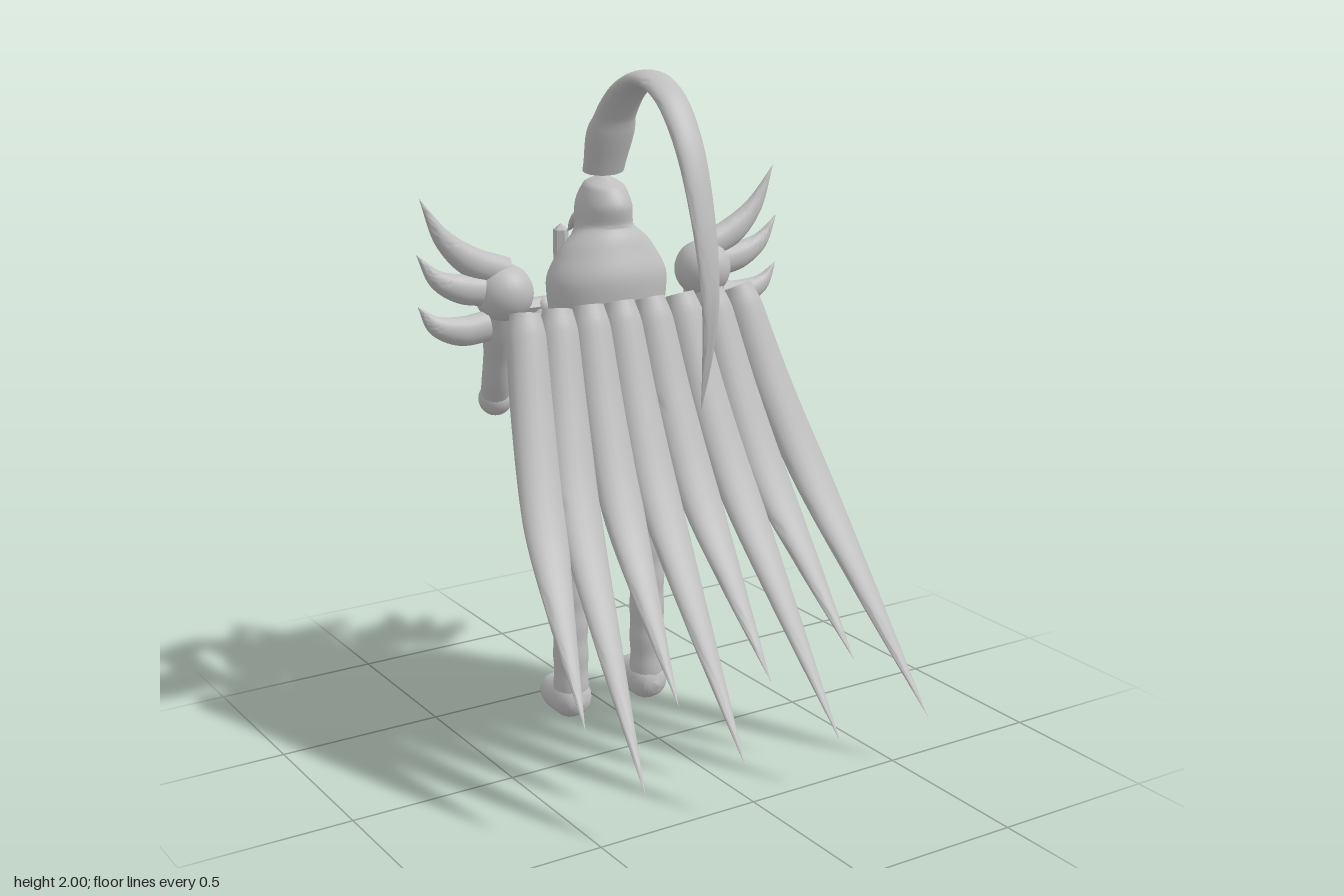
import * as THREE from 'three';
import { toCreasedNormals } from 'three/addons/utils/BufferGeometryUtils.js';

const grey = new THREE.MeshStandardMaterial({ color: 0xbfbfbf });
grey.name = 'stone grey';

const X = new THREE.Vector3(1, 0, 0);
const Z = new THREE.Vector3(0, 0, 1);

// Smooth closed sweep: stations are [x, y, z, radius along side, radius across]
function loft(stations, side = X, rows = 32, cols = 20) {
  const path = new THREE.CatmullRomCurve3(stations.map(s => new THREE.Vector3(s[0], s[1], s[2])));
  const size = new THREE.CatmullRomCurve3(stations.map(s => new THREE.Vector3(s[3], s[4], 0)));
  const pos = [], index = [];
  for (let i = -1; i <= rows + 1; i++) {
    const u = Math.min(Math.max(i / rows, 0), 1);
    const c = path.getPoint(u), r = size.getPoint(u);
    const t = path.getTangent(u);
    const n = t.clone().cross(side).normalize();
    const s = n.clone().cross(t).normalize();
    const k = i < 0 || i > rows ? 0 : 1; // zero-size rings close the ends
    for (let j = 0; j < cols; j++) {
      const a = j / cols * Math.PI * 2;
      const p = c.clone()
        .addScaledVector(s, k * Math.max(r.x, 0) * Math.cos(a))
        .addScaledVector(n, k * Math.max(r.y, 0) * Math.sin(a));
      pos.push(p.x, p.y, p.z);
    }
  }
  for (let i = 0; i < rows + 2; i++) {
    for (let j = 0; j < cols; j++) {
      const a = i * cols + j, b = i * cols + (j + 1) % cols;
      index.push(a, b, a + cols, b, b + cols, a + cols);
    }
  }
  const g = new THREE.BufferGeometry();
  g.setAttribute('position', new THREE.Float32BufferAttribute(pos, 3));
  g.setIndex(index);
  return toCreasedNormals(g, 0.9);
}

export function createModel() {
  const model = new THREE.Group();
  model.name = 'wingedGuardian';
  const add = (name, geometry, x = 0, y = 0, z = 0) => {
    const m = new THREE.Mesh(geometry, grey);
    m.name = name;
    m.position.set(x, y, z);
    model.add(m);
    return m;
  };
  const ball = (name, r, x, y, z) => add(name, new THREE.SphereGeometry(r, 24, 16), x, y, z);

  // Torso and head in one smooth form
  add('body', loft([
    [0, 0.73, -0.285, 0, 0], [0, 0.78, -0.285, 0.12, 0.055], [0, 0.9, -0.285, 0.155, 0.075],
    [0, 1.05, -0.285, 0.165, 0.095], [0, 1.22, -0.285, 0.178, 0.115], [0, 1.37, -0.285, 0.193, 0.13],
    [0, 1.47, -0.29, 0.145, 0.105], [0, 1.53, -0.3, 0.086, 0.09], [0, 1.59, -0.3, 0.08, 0.098],
    [0, 1.65, -0.295, 0.058, 0.066], [0, 1.68, -0.29, 0, 0],
  ], X, 60, 32));

  // Beak
  add('beak', loft([
    [0, 1.545, -0.37, 0.045, 0.035], [0, 1.535, -0.42, 0.036, 0.026],
    [0, 1.51, -0.47, 0.02, 0.014], [0, 1.475, -0.515, 0, 0],
  ]));

  // Long plume arching over the back
  add('plume', loft([
    [0, 1.69, -0.3, 0.068, 0.034], [0, 1.85, -0.235, 0.068, 0.034], [0, 1.94, -0.15, 0.062, 0.03],
    [0, 1.975, -0.055, 0.055, 0.025], [0, 1.94, 0.05, 0.05, 0.024], [0, 1.82, 0.15, 0.046, 0.02],
    [0, 1.6, 0.232, 0.038, 0.013], [0, 1.4, 0.265, 0.029, 0.009], [0, 1.24, 0.252, 0.017, 0.006],
    [0, 1.075, 0.22, 0, 0],
  ], X, 64));

  // Cloak of eight long feathers, alternating in length
  const tips = [-0.525, -0.405, -0.23, -0.08, 0.08, 0.245, 0.375, 0.565];
  tips.forEach((tipX, i) => {
    const long = i % 2;
    const tipY = long ? 0.155 : 0.335, tipZ = long ? 0.577 : 0.466;
    const topX = (i - 3.5) * 0.103;
    const at = (f, y, z, a, b) => [topX + (tipX - topX) * f, y, z, a, b];
    add('cloakFeather' + (i + 1), loft([
      at(0, 1.335, -0.128, 0.045, 0.038), at(0.06, 1.27, -0.105, 0.06, 0.046),
      at(0.25, 1.05, -0.015, 0.066, 0.04),
      at(0.5, 0.8, 0.115, 0.066, 0.03), at(0.76, 0.8 + (tipY - 0.8) * 0.5, 0.1 + (tipZ - 0.1) * 0.5, 0.038, 0.017),
      at(1, tipY, tipZ, 0, 0),
    ], X, 40));
  });

  for (const s of [1, -1]) {
    const sideName = s > 0 ? 'left' : 'right';

    // Leg with gentle ripples
    const leg = [];
    for (let i = 0; i <= 16; i++) {
      const r = 0.052 + 0.003 * (i % 2) + (i < 3 ? 0.006 : 0);
      leg.push([s * (0.115 + 0.023 * Math.min(i / 5, 1)), 0.86 - i * 0.05, -0.285, r, r]);
    }
    add(sideName + 'Leg', loft(leg, X, 64));
    add(sideName + 'Foot', loft([
      [s * 0.138, 0.065, -0.22, 0, 0], [s * 0.138, 0.065, -0.235, 0.04, 0.04],
      [s * 0.138, 0.068, -0.28, 0.064, 0.064], [s * 0.138, 0.063, -0.35, 0.062, 0.057],
      [s * 0.138, 0.066, -0.4, 0.047, 0.043], [s * 0.138, 0.066, -0.422, 0, 0],
    ]));

    // Knee spike
    add(sideName + 'KneeSpike', loft([
      [s * 0.148, 0.435, -0.36, 0.036, 0.025], [s * 0.148, 0.435, -0.405, 0.034, 0.027],
      [s * 0.148, 0.455, -0.445, 0.02, 0.018], [s * 0.148, 0.503, -0.482, 0, 0],
    ]));

    // Shoulder with three upswept horns
    ball(sideName + 'Shoulder', 0.086, s * 0.342, 1.365, -0.288);
    const horns = [
      [0.34, 1.425, 0.45, 1.47, 0.53, 1.54, 0.6, 1.66],
      [0.37, 1.375, 0.47, 1.39, 0.55, 1.425, 0.615, 1.505],
      [0.4, 1.275, 0.48, 1.27, 0.56, 1.295, 0.615, 1.357],
    ];
    horns.forEach((h, i) => add(sideName + 'ShoulderHorn' + (i + 1), loft([
      [s * h[0], h[1], -0.288, 0.036, 0.045], [s * h[2], h[3], -0.288, 0.034, 0.043],
      [s * h[4], h[5], -0.288, 0.022, 0.028], [s * h[6], h[7], -0.288, 0, 0],
    ], Z)));

    // Upper arm down to the elbow
    add(sideName + 'UpperArm', loft([
      [s * 0.342, 1.34, -0.288, 0.058, 0.058], [s * 0.345, 1.25, -0.31, 0.05, 0.05],
      [s * 0.335, 1.16, -0.345, 0.044, 0.044], [s * 0.325, 1.09, -0.375, 0.045, 0.045],
      [s * 0.315, 1.02, -0.412, 0.042, 0.042],
    ]));

    // Beaded forearm ending at the crossguard
    const beads = [
      [0.312, 1.02, -0.412, 0.051], [0.235, 1.083, -0.455, 0.041], [0.16, 1.135, -0.497, 0.037],
      [0.105, 1.19, -0.53, 0.034], [0.065, 1.245, -0.548, 0.031],
    ];
    beads.forEach((b, i) => ball(sideName + 'ForearmBead' + (i + 1), b[3], s * b[0], b[1], b[2]));
    add(sideName + 'Forearm', loft(beads.map(b => [s * b[0], b[1], b[2], b[3] * 0.75, b[3] * 0.75]), Z));
  }

  // Sword held point down: hexagonal grip and crossguard with pointed ends
  const hexBar = (half, r) => {
    const profile = [[0, -half], [r, -half + r * 0.8], [r, half - r * 0.8], [0, half]];
    const g = new THREE.LatheGeometry(profile.map(p => new THREE.Vector2(p[0], p[1])), 6);
    return toCreasedNormals(g, 0.5);
  };
  add('swordGrip', hexBar(0.15, 0.024), 0, 1.345, -0.555);
  add('swordCrossguard', hexBar(0.238, 0.027), 0, 1.25, -0.555).rotation.z = Math.PI / 2;
  const blade = new THREE.Shape([
    [-0.034, 1.25], [-0.034, 0.3], [-0.018, 0.06], [0, 0.01], [0.018, 0.06], [0.034, 0.3], [0.034, 1.25],
  ].map(p => new THREE.Vector2(p[0], p[1])));
  add('swordBlade', new THREE.ExtrudeGeometry(blade, {
    depth: 0.012, bevelThickness: 0.01, bevelSize: 0.012, bevelOffset: -0.012, bevelSegments: 1,
  }), 0, 0, -0.561);

  return model;
}
